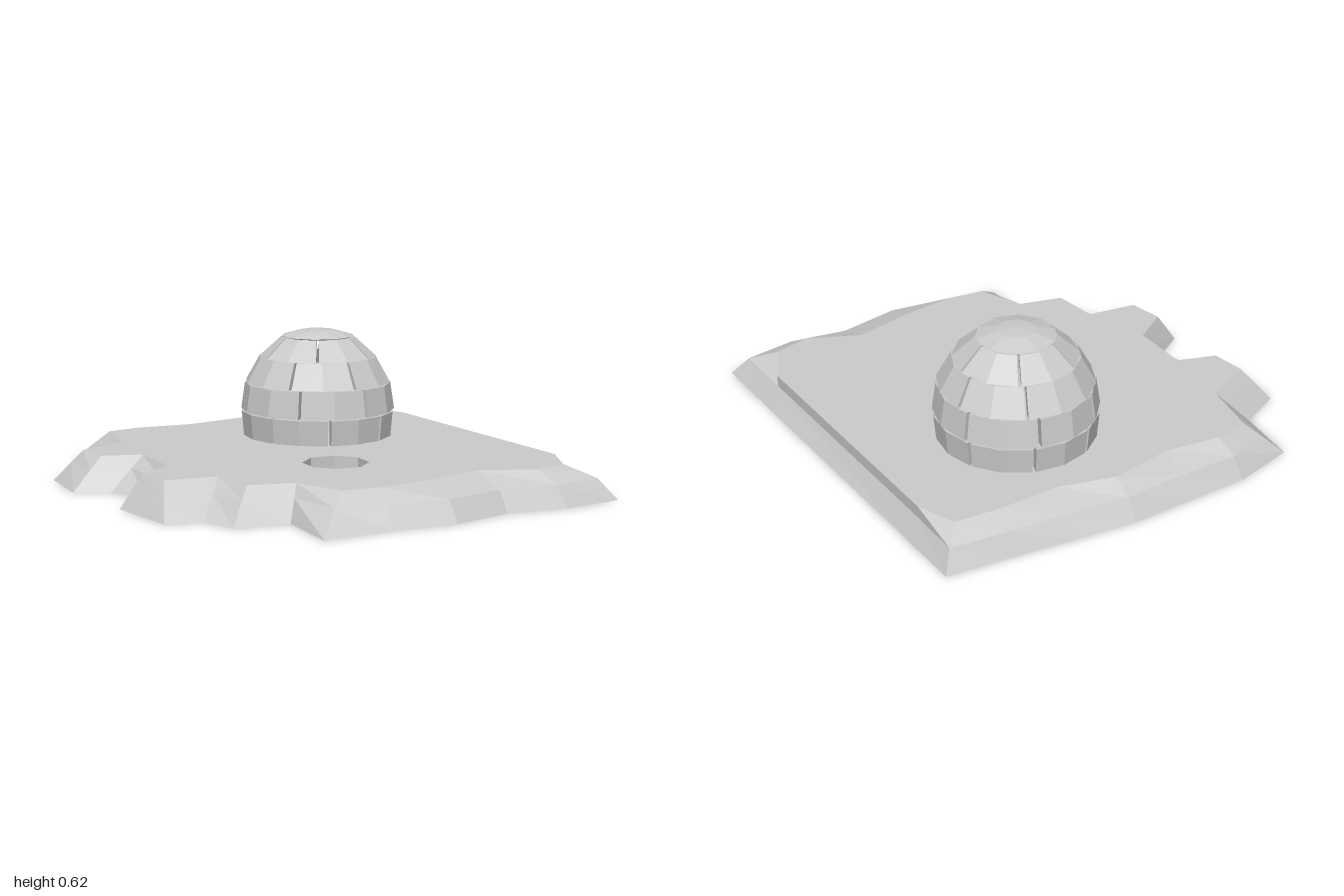
import * as THREE from 'three';

const V = (x, y, z) => new THREE.Vector3(x, y, z);
const material = new THREE.MeshStandardMaterial({ color: 0xcccccc, flatShading: true });
// The floe is an open shell, seen from both sides
const shellMaterial = new THREE.MeshStandardMaterial({
  color: 0xcccccc, flatShading: true, side: THREE.DoubleSide,
});

function addMesh(parent, name, geometry, surface) {
  const mesh = new THREE.Mesh(geometry, surface);
  mesh.name = name;
  parent.add(mesh);
}

// Joins closed cross-sections with flat facets, optionally closing both ends
function loft(rings, capped = false) {
  const points = [];
  for (let k = 0; k < rings.length - 1; k++) {
    const a = rings[k], b = rings[k + 1];
    for (let i = 0; i < a.length; i++) {
      const j = (i + 1) % a.length;
      points.push(a[i], b[i], b[j], a[i], b[j], a[j]);
    }
  }
  if (capped) {
    const first = rings[0], last = rings[rings.length - 1];
    for (let i = 1; i < first.length - 1; i++) {
      points.push(first[0], first[i], first[i + 1], last[0], last[i + 1], last[i]);
    }
  }
  const geometry = new THREE.BufferGeometry().setFromPoints(points);
  geometry.computeVertexNormals();
  return geometry;
}

// Ragged shore: bottom x, z, top x, z, and how far the bevel's mid line leans in
const SHORE = [
  [-0.70, -0.935, -0.555, -0.835, 0.62], [-0.42, -1, -0.40, -0.857, 0.4],
  [-0.15, -1, -0.15, -0.82, 0.35], [0.13, -1, 0.13, -0.86, 0.4],
  [0.40, -0.965, 0.37, -0.79, 0.35], [0.66, -0.925, 0.64, -0.79, 0.35],
  [0.95, -0.89, 0.835, -0.77, 0.4], [0.952, -0.60, 0.90, -0.60, 1],
  [0.96, 0.61, 0.90, 0.61, 1], [0.96, 0.97, 0.80, 0.80, 0.38],
  [0.68, 0.99, 0.64, 0.84, 0.35], [0.41, 0.945, 0.41, 0.73, 0.25],
  [0.13, 1, 0.13, 0.79, 0.27], [-0.15, 0.97, -0.115, 0.815, 0.45],
  [-0.46, 0.97, -0.28, 0.79, 0.62], [-0.44, 0.675, -0.36, 0.58, 0.62],
  [-0.67, 0.63, -0.555, 0.525, 0.62], [-0.725, 0.475, -0.575, 0.315, 0.62],
  [-0.875, 0.435, -0.80, 0.275, 0.62], [-0.92, 0.105, -0.825, 0.12, 0.62],
  [-0.75, 0.005, -0.66, 0.015, 0.62], [-0.82, -0.21, -0.65, -0.255, 0.62],
  [-0.965, -0.28, -0.82, -0.315, 0.62], [-0.94, -0.565, -0.835, -0.475, 0.62],
  [-0.74, -0.655, -0.61, -0.575, 0.62],
];
const TOP = 0.14;

function createFloe() {
  const floe = new THREE.Group();
  floe.name = 'iceFloe';
  const bottom = SHORE.map((s) => V(s[0], 0, s[1]));
  const top = SHORE.map((s) => V(s[2], TOP, s[3]));
  const middle = SHORE.map((s, i) => bottom[i].clone().lerp(top[i], s[4]).setY(0.088));

  // Eight-sided fishing hole, its wall hanging below the ice sheet
  const hole = (y) => Array.from({ length: 8 }, (_, i) => {
    const t = (i + 0.5) * Math.PI / 4 - 0.08;
    return V(-0.013 + 0.142 * Math.sin(t), y, 0.30 + 0.142 * Math.cos(t));
  });

  // Level ice sheet with the hole cut out
  const flat = (ring) => ring.map((p) => new THREE.Vector2(p.x, -p.z));
  const sheet = new THREE.Shape(flat(top));
  sheet.holes.push(new THREE.Path(flat(hole(TOP))));
  const sheetGeometry = new THREE.ShapeGeometry(sheet).rotateX(-Math.PI / 2).translate(0, TOP, 0);

  addMesh(floe, 'iceSheet', sheetGeometry, shellMaterial);
  addMesh(floe, 'shoreBevel', loft([bottom, middle, top]), shellMaterial);
  addMesh(floe, 'fishingHole', loft([hole(0), hole(TOP)]), shellMaterial);
  return floe;
}

// Curved snow block swept between two angles
function block(row, from, to) {
  const { y0, y1, r0, r1 } = row, thick = 0.045;
  const profile = [[r0, y0], [r1, y1], [r1 - thick, y1], [r0 - thick, y0]];
  const rings = [0, 0.5, 1].map((f) => {
    const t = from + (to - from) * f;
    return profile.map(([r, y]) => V(r * Math.sin(t), y, r * Math.cos(t)));
  });
  return loft(rings, true);
}

function createIgloo() {
  const igloo = new THREE.Group();
  igloo.name = 'igloo';
  igloo.position.set(0.264, 0, -0.334);

  // Courses of blocks with open joints; the first joint angle is in degrees
  const rows = [
    { y0: 0.138, y1: 0.252, r0: 0.340, r1: 0.350, count: 8, joint: 24 },
    { y0: 0.257, y1: 0.378, r0: 0.350, r1: 0.332, count: 7, joint: -43 },
    { y0: 0.383, y1: 0.497, r0: 0.332, r1: 0.268, count: 7, joint: 0 },
    { y0: 0.498, y1: 0.586, r0: 0.266, r1: 0.168, count: 6, joint: 30 },
  ];
  rows.forEach((row, n) => {
    const step = Math.PI * 2 / row.count;
    const gap = 0.007 / row.r0;
    const start = THREE.MathUtils.degToRad(row.joint);
    for (let i = 0; i < row.count; i++) {
      const a = start + i * step;
      addMesh(igloo, `row${n + 1}Block${i + 1}`, block(row, a + gap, a + step - gap), material);
    }
  });

  // Shallow capstone
  const cap = [[0, 0.58], [0.15, 0.585], [0.168, 0.591], [0.08, 0.616], [0, 0.622]]
    .map(([r, y]) => new THREE.Vector2(r, y));
  addMesh(igloo, 'capstone', new THREE.LatheGeometry(cap, 10), material);
  return igloo;
}

export function createModel() {
  const model = new THREE.Group();
  model.name = 'iglooOnIce';
  model.add(createFloe(), createIgloo());
  return model;
}
